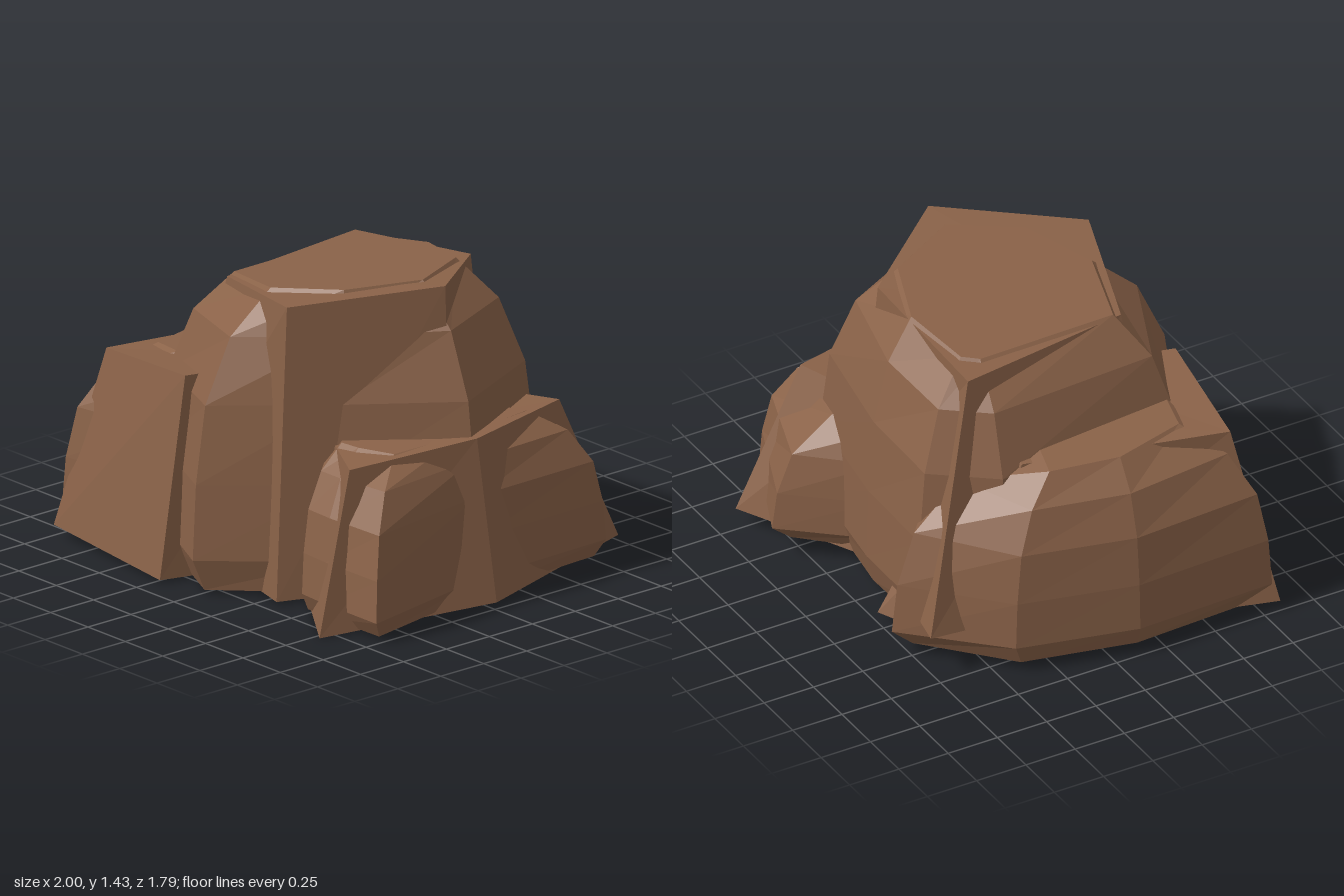
import * as THREE from 'three';

const material = new THREE.MeshStandardMaterial({ color: 0x8a6248, flatShading: true, roughness: 1 });

// Closed solid through rings of [x, y, z], each running front, right, back, left
function loft(name, rings) {
  const n = rings[0].length, last = (rings.length - 1) * n, index = [];
  for (let r = 0; r < rings.length - 1; r++) {
    for (let i = 0; i < n; i++) {
      const j = (i + 1) % n, a = r * n + i, b = r * n + j;
      index.push(a, b, b + n, a, b + n, a + n);
    }
  }
  for (let i = 1; i < n - 1; i++) {
    index.push(0, i + 1, i, last, last + i, last + i + 1);
  }
  const geometry = new THREE.BufferGeometry();
  geometry.setAttribute('position', new THREE.Float32BufferAttribute(rings.flat(2), 3));
  geometry.setIndex(index);
  geometry.computeVertexNormals();
  const mesh = new THREE.Mesh(geometry, material);
  mesh.name = name;
  return mesh;
}

// Height fraction and spread (1 = base outline, 0 = top outline) of a bulge
const profile = [[0, 0.85], [0.11, 1], [0.37, 0.96], [0.64, 0.84], [0.86, 0.52], [1, 0]];

// Rounded mass that swells from a flat top outline to a wide base outline
function bulge(name, base, top, bottomY, topY) {
  return loft(name, profile.map(([f, w]) => base.map(([bx, bz], i) => {
    const [tx, tz] = top[i];
    const low = bottomY(bx, bz), high = topY(tx, tz);
    return [tx + (bx - tx) * w, low + (high - low) * f, tz + (bz - tz) * w];
  })));
}

function boulder(name, block, mass) {
  const group = new THREE.Group();
  group.name = name;
  group.add(loft('angularBlock', block), bulge('roundedMass', ...mass));
  return group;
}

export function createModel() {
  const model = new THREE.Group();
  model.name = 'rockCluster';

  // Tall middle boulder
  model.add(boulder('tallBoulder', [
    [[-0.66, 0.08, 0.5], [0.32, 0.01, 0.68], [0.72, 0.06, 0], [0.42, 0.14, -0.52], [-0.7, 0.21, -0.77]],
    [[-0.31, 1.3, 0.42], [0.32, 1.37, 0.62], [0.69, 1.43, 0.02], [0.32, 1.37, -0.45], [-0.42, 1.29, -0.42]],
  ], [
    [[0, 0.89], [0.46, 0.45], [0.88, 0], [0.6, -0.6], [0.02, -0.68], [-0.43, -0.68], [-0.66, -0.36], [-0.57, 0.61]],
    [[0.05, 0.48], [0.37, 0.33], [0.54, 0.02], [0.37, -0.32], [0.06, -0.43], [-0.27, -0.37], [-0.32, -0.3], [-0.31, 0.38]],
    (x, z) => 0.04 - 0.025 * z,
    (x) => 1.352 + 0.125 * x,
  ]));

  // Medium boulder on the -x side
  model.add(boulder('mediumBoulder', [
    [[-1, 0.05, 0.83], [-0.22, 0.015, 0.89], [-0.05, 0.01, 0.3], [-0.18, 0.04, -0.74], [-0.58, 0.03, -0.55]],
    [[-0.82, 0.89, 0.68], [-0.2, 0.945, 0.76], [-0.05, 0.94, 0.2], [-0.25, 0.93, -0.25], [-0.6, 0.9, -0.25]],
  ], [
    [[-0.5, 0.72], [-0.15, 0.6], [0.05, 0.1], [-0.1, -0.45], [-0.46, -0.83], [-0.86, -0.43], [-1, 0.12], [-0.98, 0.8]],
    [[-0.5, 0.54], [-0.25, 0.5], [-0.1, 0.1], [-0.2, -0.2], [-0.42, -0.1], [-0.72, -0.18], [-0.77, 0.15], [-0.68, 0.5]],
    (x) => 0.015 - 0.03 * x,
    (x) => 0.966 + 0.08 * x,
  ]));

  // Small boulder on the +x side
  model.add(boulder('smallBoulder', [
    [[0.35, 0.01, 0.53], [0.78, 0, 0.83], [1, 0.03, -0.01], [0.79, 0.08, -0.9], [0.25, 0.06, -0.6]],
    [[0.43, 0.72, 0.44], [0.74, 0.725, 0.62], [0.88, 0.765, 0], [0.74, 0.77, -0.6], [0.35, 0.76, -0.45]],
  ], [
    [[0.49, 0.68], [0.65, 0.69], [1, 0.69], [0.91, 0], [0.95, -0.69], [0.47, -0.9], [0.2, -0.55], [0.36, 0.53]],
    [[0.48, 0.44], [0.58, 0.43], [0.75, 0.37], [0.78, 0], [0.75, -0.4], [0.45, -0.28], [0.25, -0.25], [0.44, 0.4]],
    (x, z) => 0.045 - 0.045 * z,
    (x, z) => 0.755 - 0.03 * z,
  ]));

  return model;
}
